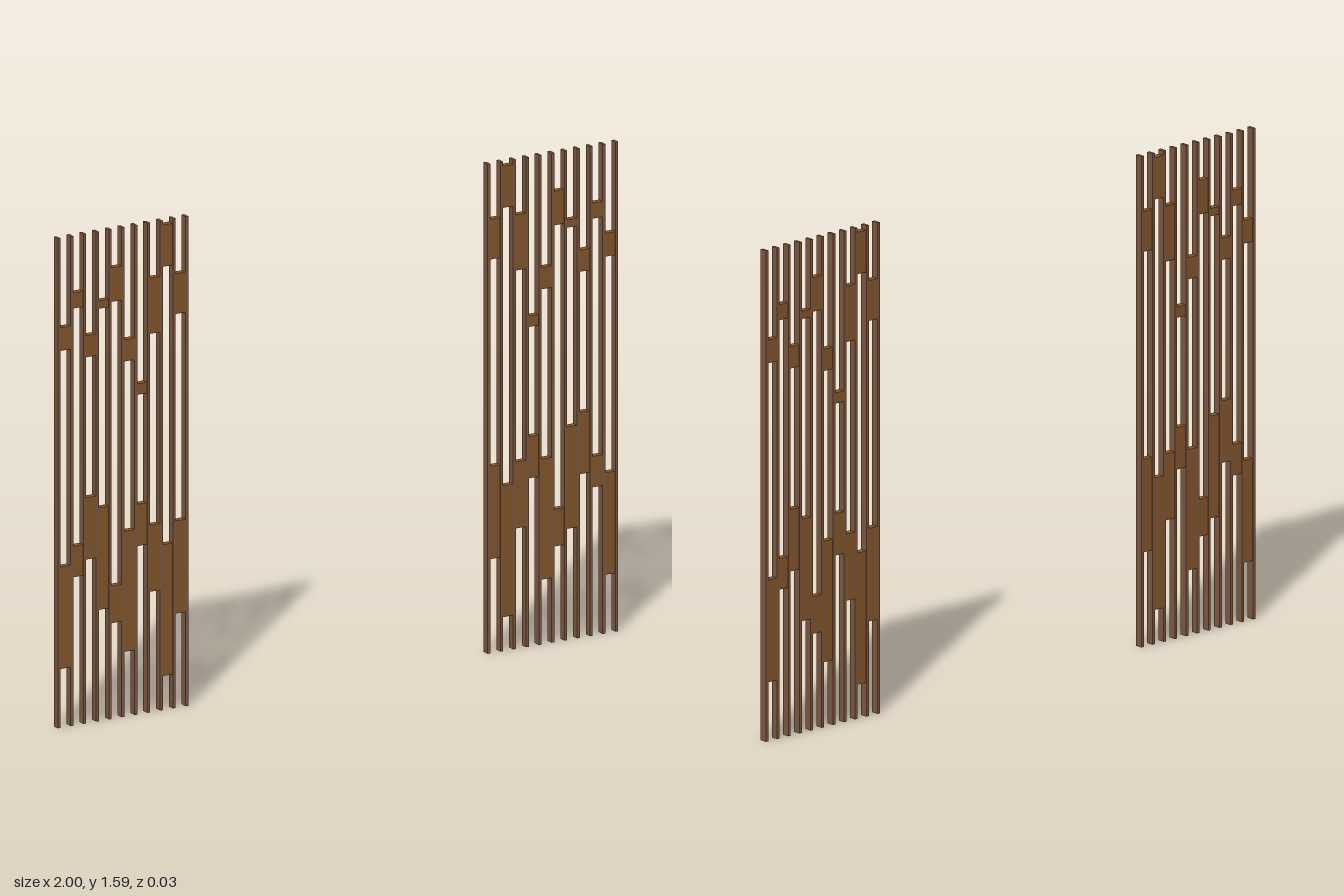
import * as THREE from 'three';

const HEIGHT = 1.585, DEPTH = 0.025, BAR = 0.01;
const OUTER = 0.995, INNER = 0.539;

// Per gap, from the outer edge inward: lower slat bottom/top, upper slat bottom/top
const GAPS = [
  [0.19, 0.52, 1.22, 1.295],
  [0.48, 0.58, 1.35, 1.40],
  [0.53, 0.73, 1.185, 1.255],
  [0.36, 0.69, 1.335, 1.36],
  [0.31, 0.43, 1.35, 1.46],
  [0.21, 0.60, 1.15, 1.22],
  [0.545, 0.68, 1.035, 1.07],
  [0.39, 0.605, 1.225, 1.405],
  [0.11, 0.535, 1.435, 1.57],
  [0.305, 0.605, 1.275, 1.405],
];

export function createModel() {
  const model = new THREE.Group();
  model.name = 'slattedScreens';
  const barMaterial = new THREE.MeshStandardMaterial({ color: 0x7d5840 });
  const slatMaterial = new THREE.MeshStandardMaterial({ color: 0x85572b });
  const pitch = (OUTER - INNER) / GAPS.length;

  const addBox = (parent, name, material, x, bottom, top, width, depth) => {
    const mesh = new THREE.Mesh(new THREE.BoxGeometry(width, top - bottom, depth), material);
    mesh.position.set(x, (bottom + top) / 2, 0);
    mesh.name = name;
    parent.add(mesh);
  };

  // Two mirrored screens
  for (const side of [1, -1]) {
    const screen = new THREE.Group();
    screen.name = side > 0 ? 'leftScreen' : 'rightScreen';

    // Full-height upright bars
    for (let i = 0; i <= GAPS.length; i++) {
      addBox(screen, 'uprightBar', barMaterial, side * (OUTER - i * pitch), 0, HEIGHT, BAR, DEPTH);
    }

    // Filler slats spanning the gaps between bars
    GAPS.forEach(([lowBottom, lowTop, highBottom, highTop], i) => {
      const x = side * (OUTER - (i + 0.5) * pitch);
      addBox(screen, 'lowerSlat', slatMaterial, x, lowBottom, lowTop, pitch - BAR, DEPTH * 0.9);
      addBox(screen, 'upperSlat', slatMaterial, x, highBottom, highTop, pitch - BAR, DEPTH * 0.9);
    });
    model.add(screen);
  }
  return model;
}
